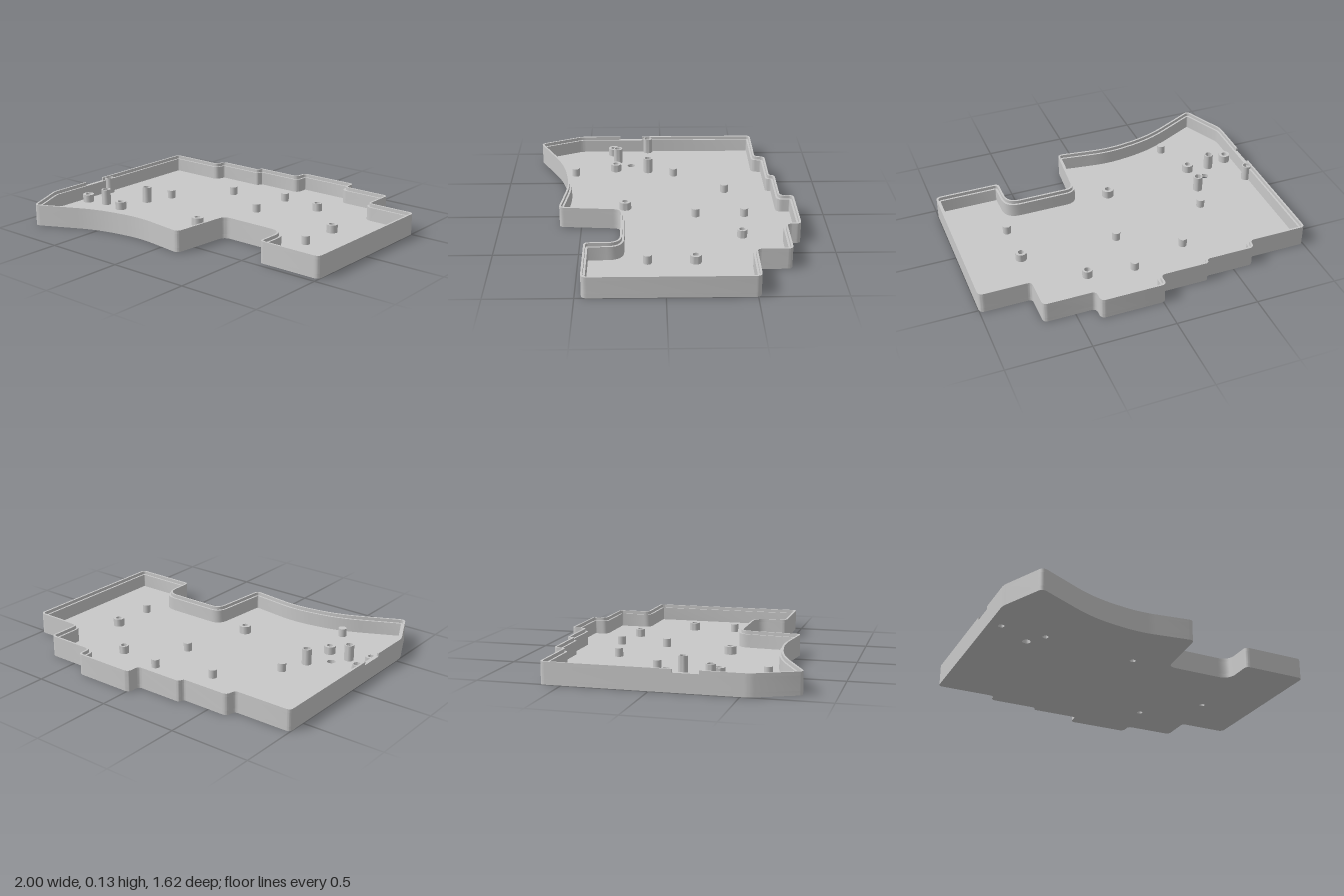
import * as THREE from 'three';
import { toCreasedNormals } from 'three/addons/utils/BufferGeometryUtils.js';

const FLOOR = 0.026, LEDGE = 0.11, TOP = 0.13;

// Case outline seen from above: x, z, corner rounding length.
// It starts and ends at the two sides of the notch in the rim.
const OUTLINE = [
  [-1, 0.13, 0], [-1, -0.625, 0.03], [-0.635, -0.625, 0.025], [-0.625, -0.69, 0.03],
  [-0.325, -0.69, 0.015], [-0.315, -0.725, 0.02], [-0.017, -0.725, 0.03], [-0.017, -0.81, 0.032],
  [0.378, -0.81, 0.032], [0.378, -0.725, 0.03], [0.69, -0.725, 0.032], [0.69, -0.52, 0.025],
  [1, -0.52, 0.035], [1, 0.464, 0.035], [0.595, 0.464, 0.03], [0.595, 0.257, 0.08],
  [0.17, 0.257, 0.05], [0.14, 0.638, 0.035], [-0.2, 0.592, 0.11], [-0.5, 0.638, 0.14],
  [-0.875, 0.823, 0.035], [-1, 0.55, 0.03], [-1, 0.28, 0],
];

// Rounded outline moved inward by d, as 2D points (x, -z)
function outline(d) {
  const pts = OUTLINE.map(([x, z]) => new THREE.Vector2(x, -z));
  const n = pts.length;
  const dir = pts.map((p, i) => pts[(i + 1) % n].clone().sub(p).normalize());
  const moved = pts.map((p, i) => {
    const a = dir[(i + n - 1) % n], b = dir[i], k = d / (1 + a.dot(b));
    return new THREE.Vector2(p.x + (a.y + b.y) * k, p.y - (a.x + b.x) * k);
  });
  const result = [];
  moved.forEach((p, i) => {
    const t0 = OUTLINE[i][2];
    if (t0 === 0) return result.push(p);
    const prev = moved[(i + n - 1) % n], next = moved[(i + 1) % n];
    const a = dir[(i + n - 1) % n], b = dir[i];
    const wanted = Math.max(0.003, t0 + d * a.cross(b) / (1 + a.dot(b)));
    const t = Math.min(wanted, p.distanceTo(prev) * 0.48, p.distanceTo(next) * 0.48);
    const curve = new THREE.QuadraticBezierCurve(
      p.clone().addScaledVector(a, -t), p, p.clone().addScaledVector(b, t));
    result.push(...curve.getPoints(8));
  });
  return result;
}

// Upright slab from a plan shape between two heights
function slab(shape, y0, y1) {
  const g = new THREE.ExtrudeGeometry(shape, { depth: y1 - y0, bevelEnabled: false, curveSegments: 12 });
  g.rotateX(-Math.PI / 2).translate(0, y0, 0);
  return toCreasedNormals(g, 0.6);
}

// Round hole, wound against the clockwise outline
function hole(x, z, r) {
  return new THREE.Path().absarc(x, -z, r, 0, Math.PI * 2, false);
}

function turned(profile) {
  const g = new THREE.LatheGeometry(profile.map(([r, y]) => new THREE.Vector2(r, y)), 24);
  return toCreasedNormals(g, 0.6);
}

export function createModel() {
  const group = new THREE.Group();
  const grey = new THREE.MeshStandardMaterial({ color: 0xc8c8c8 });
  grey.name = 'plain grey';

  const add = (name, geometry, x = 0, z = 0) => {
    const mesh = new THREE.Mesh(geometry, grey);
    mesh.name = name;
    mesh.position.set(x, 0, z);
    group.add(mesh);
  };

  const screwPosts = [
    [0.335, -0.465, 0.03], [0.647, -0.175, 0.034], [-0.06, 0.235, 0.037],
    [-0.925, 0.325, 0.035], [-0.65, 0.305, 0.035],
  ];
  const tallPosts = [[-0.969, 0.09], [-0.625, 0.09], [-0.793, 0.293]];
  const pegs = [
    [-0.3, -0.4], [0.052, -0.5], [0.052, -0.2], [-0.565, -0.08], [0.652, 0.1], [-0.573, 0.57],
  ];

  // Floor with screw holes and a reset hole
  const floor = new THREE.Shape(outline(0));
  screwPosts.forEach(([x, z]) => floor.holes.push(hole(x, z, 0.018)));
  floor.holes.push(hole(-0.727, 0.203, 0.025));
  add('floor', slab(floor, 0, FLOOR));

  // Wall up to the inner ledge
  const wall = new THREE.Shape(outline(0));
  wall.holes.push(new THREE.Path(outline(0.024).reverse()));
  add('wall', slab(wall, FLOOR, LEDGE));

  // Thin outer rim, open at the notch in the side wall
  const rim = new THREE.Shape([...outline(0), ...outline(0.012).reverse()]);
  add('rim', slab(rim, LEDGE, TOP));

  // Short hollow posts over the screw holes
  screwPosts.forEach(([x, z, r]) => add('screwPost',
    turned([[r, FLOOR], [r, 0.075], [0.018, 0.075], [0.018, FLOOR]]), x, z));

  // Tall posts with blind bores
  const tall = turned([[0.029, FLOOR], [0.029, 0.125], [0.021, 0.125], [0.021, 0.06], [0, 0.06]]);
  tallPosts.forEach(([x, z]) => add('tallPost', tall, x, z));

  // Solid support pegs
  const peg = new THREE.CylinderGeometry(0.025, 0.025, 0.052, 24).translate(0, FLOOR + 0.026, 0);
  pegs.forEach(([x, z]) => add('supportPeg', peg, x, z));

  return group;
}
